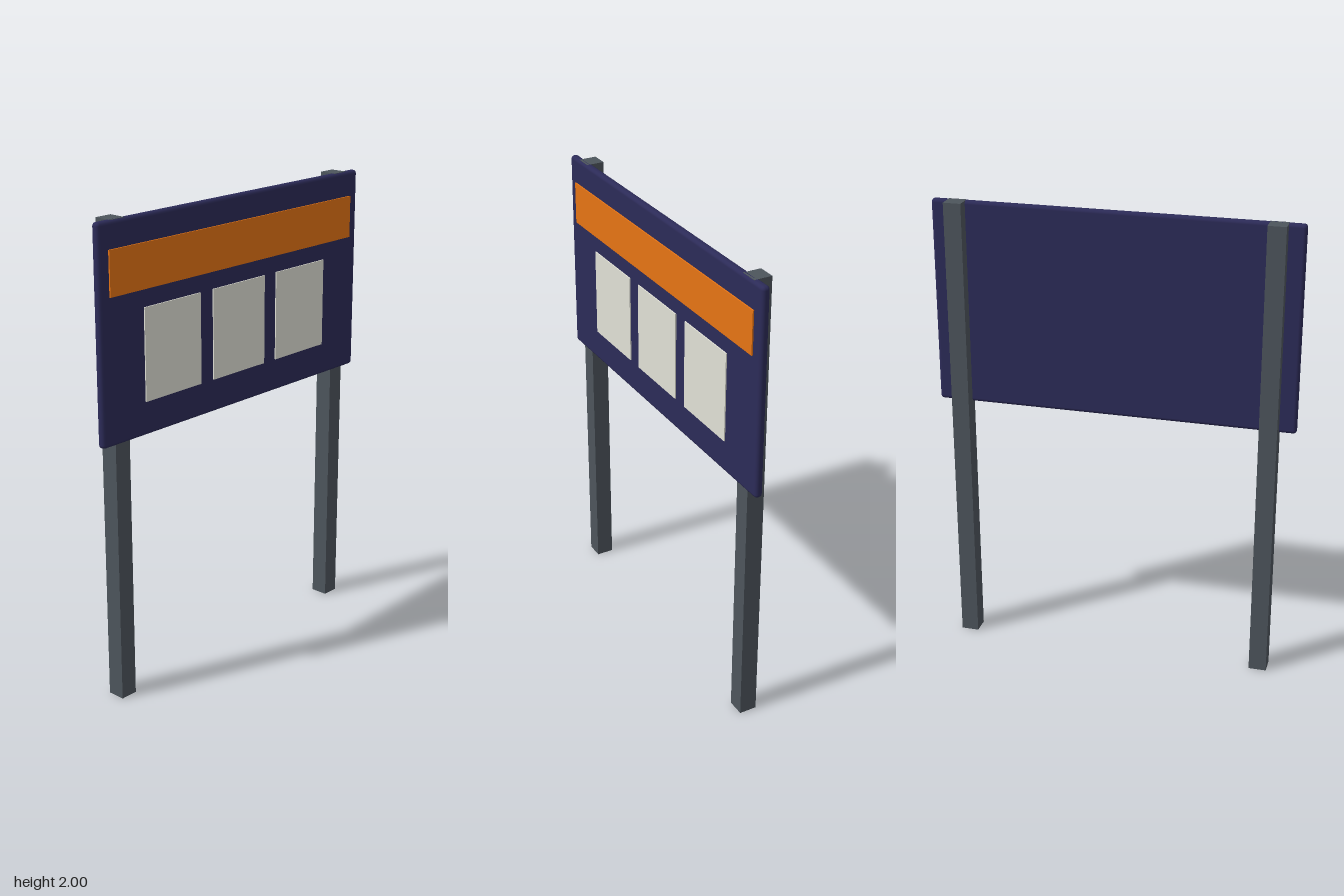
import * as THREE from 'three';
import { RoundedBoxGeometry } from 'three/addons/geometries/RoundedBoxGeometry.js';

function material(name, color) {
  const m = new THREE.MeshStandardMaterial({ color });
  m.name = name;
  return m;
}

export function createModel() {
  const model = new THREE.Group();
  model.name = 'noticeBoard';

  const postGrey = material('postGrey', 0x4d555c);
  const boardNavy = material('boardNavy', 0x2c2b58);
  const bannerOrange = material('bannerOrange', 0xe67414);
  const paperWhite = material('paperWhite', 0xe0e0d6);

  const add = (name, geometry, mat, x, y, z) => {
    const mesh = new THREE.Mesh(geometry, mat);
    mesh.name = name;
    mesh.position.set(x, y, z);
    model.add(mesh);
  };

  // Two square posts running the full height behind the board
  for (const [name, side] of [['leftPost', 1], ['rightPost', -1]]) {
    add(name, new THREE.BoxGeometry(0.076, 2, 0.076), postGrey, side * 0.667, 1, -0.007);
  }

  // Thin board with rounded edges
  add('board', new RoundedBoxGeometry(1.554, 0.885, 0.035, 2, 0.015), boardNavy, 0, 1.5575, 0.0225);

  // Header strip across the top
  add('headerStrip', new THREE.BoxGeometry(1.45, 0.182, 0.008), bannerOrange, 0, 1.801, 0.042);

  // Row of three notices
  for (const i of [-1, 0, 1]) {
    add(`notice${i + 2}`, new THREE.BoxGeometry(0.315, 0.382, 0.008), paperWhite, i * 0.389, 1.447, 0.041);
  }

  return model;
}
